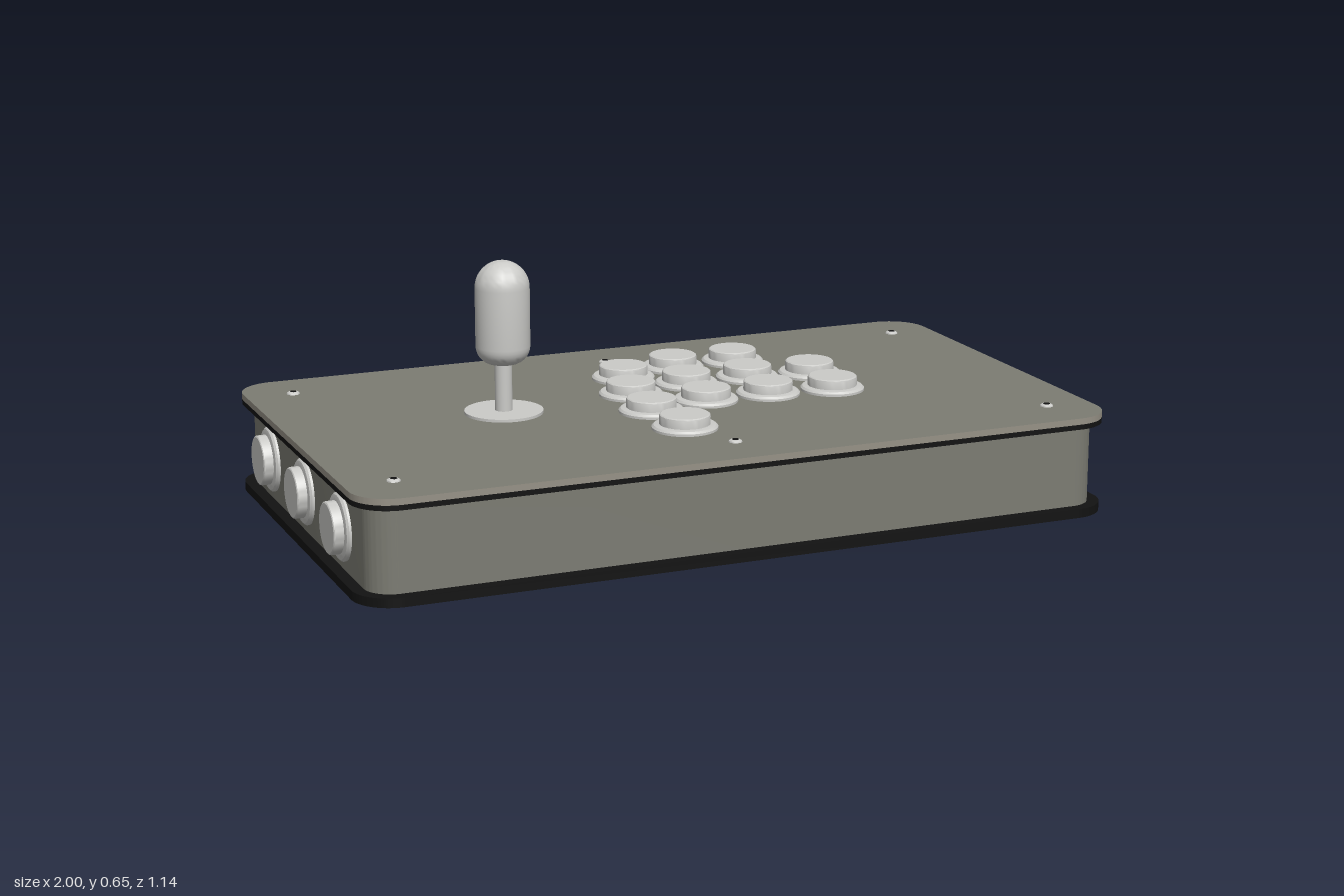
import * as THREE from 'three';
import { toCreasedNormals } from 'three/addons/utils/BufferGeometryUtils.js';

const mat = (name, color) => new THREE.MeshStandardMaterial({ name, color });

// Rounded rectangular slab lying flat, from y0 to y1
function slab(halfX, halfZ, r, y0, y1) {
  const s = new THREE.Shape();
  s.moveTo(-halfX + r, -halfZ);
  s.absarc(halfX - r, -halfZ + r, r, -Math.PI / 2, 0);
  s.absarc(halfX - r, halfZ - r, r, 0, Math.PI / 2);
  s.absarc(-halfX + r, halfZ - r, r, Math.PI / 2, Math.PI);
  s.absarc(-halfX + r, -halfZ + r, r, Math.PI, Math.PI * 1.5);
  const g = new THREE.ExtrudeGeometry(s, { depth: y1 - y0, bevelEnabled: false, curveSegments: 12 });
  g.rotateX(-Math.PI / 2).translate(0, y0, 0);
  return toCreasedNormals(g, 0.6);
}

// Turned part from [radius, height] pairs, listed bottom to top
function turned(points, segments = 40) {
  const g = new THREE.LatheGeometry(points.map(([x, y]) => new THREE.Vector2(x, y)), segments);
  return toCreasedNormals(g, 0.5);
}

export function createModel() {
  const root = new THREE.Group();
  root.name = 'arcadeController';

  const panelGrey = mat('panelGrey', 0x7c7c73);
  const edgeGrey = mat('edgeGrey', 0x969186);
  const black = mat('black', 0x121212);
  const lightGrey = mat('lightGrey', 0xcbcbc8);

  const add = (name, geometry, material, parent = root) => {
    const m = new THREE.Mesh(geometry, material);
    m.name = name;
    parent.add(m);
    return m;
  };

  // Case layers
  const top = 0.261;
  add('basePlate', slab(0.99, 0.572, 0.1, 0, 0.023), black);
  add('caseBody', slab(0.96, 0.542, 0.07, 0.023, 0.232), panelGrey);
  add('underPanel', slab(0.99, 0.572, 0.1, 0.232, 0.245), black);
  add('topPanel', slab(0.99, 0.572, 0.1, 0.245, top), [panelGrey, edgeGrey]);

  // Push buttons: a flanged collar with a raised plunger
  const collar = turned([[0.083, 0], [0.083, 0.006], [0.078, 0.011], [0.068, 0.013], [0.064, 0.013]]);
  const plunger = turned([[0.064, 0.005], [0.064, 0.033], [0.063, 0.036], [0.06, 0.038], [0, 0.038]]);
  const addButton = (name, x, y, z, tilt = 0) => {
    const b = new THREE.Group();
    b.name = name;
    add('collar', collar, lightGrey, b);
    add('plunger', plunger, lightGrey, b);
    b.position.set(x, y, z);
    b.rotation.z = tilt;
    root.add(b);
  };

  // Main button layout
  [
    [-0.02, -0.25], [0.145, -0.305], [0.32, -0.305],
    [-0.065, -0.085], [0.11, -0.13], [0.285, -0.13], [0.455, -0.105],
    [-0.08, 0.09], [0.09, 0.045], [0.265, 0.045], [0.44, 0.065],
    [-0.065, 0.27],
  ].forEach(([x, z], i) => addButton(`topButton${i + 1}`, x, top, z));

  // Three buttons on each end
  for (const side of [-1, 1]) {
    for (const z of [-0.312, 0, 0.312]) {
      addButton(side > 0 ? 'leftSideButton' : 'rightSideButton', side * 0.961, 0.127, z, -side * Math.PI / 2);
    }
  }

  // Joystick: dust washer, shaft and capsule grip
  const stick = new THREE.Group();
  stick.name = 'joystick';
  stick.position.set(-0.427, 0, -0.046);
  root.add(stick);
  add('dustWasher', turned([[0.1, top], [0.1, top + 0.007], [0, top + 0.007]]), lightGrey, stick);
  add('shaft', new THREE.CylinderGeometry(0.022, 0.022, 0.15, 24).translate(0, 0.335, 0), lightGrey, stick);
  const grip = [[0, 0.388], [0.022, 0.388]];
  for (let i = 0; i <= 8; i++) {
    const a = (i / 8) * Math.PI / 2;
    grip.push([0.022 + 0.047 * Math.sin(a), 0.435 - 0.047 * Math.cos(a)]);
  }
  for (let i = 0; i <= 12; i++) {
    const a = (i / 12) * Math.PI / 2;
    grip.push([i === 12 ? 0 : 0.069 * Math.cos(a), 0.584 + 0.069 * Math.sin(a)]);
  }
  // Drop the doubled first point of the lower curve
  grip.splice(2, 1);
  add('grip', turned(grip), lightGrey, stick);

  // Panel screws with hexagonal sockets
  const head = turned([[0.017, top], [0.016, top + 0.003], [0.011, top + 0.006], [0, top + 0.006]], 24);
  const socket = new THREE.CylinderGeometry(0.009, 0.009, 0.002, 6).translate(0, top + 0.006, 0);
  for (const x of [-0.868, 0, 0.868]) {
    for (const z of [-0.431, 0.431]) {
      const screw = new THREE.Group();
      screw.name = 'panelScrew';
      screw.position.set(x, 0, z);
      add('screwHead', head, lightGrey, screw);
      add('screwSocket', socket, black, screw);
      root.add(screw);
    }
  }
  return root;
}
